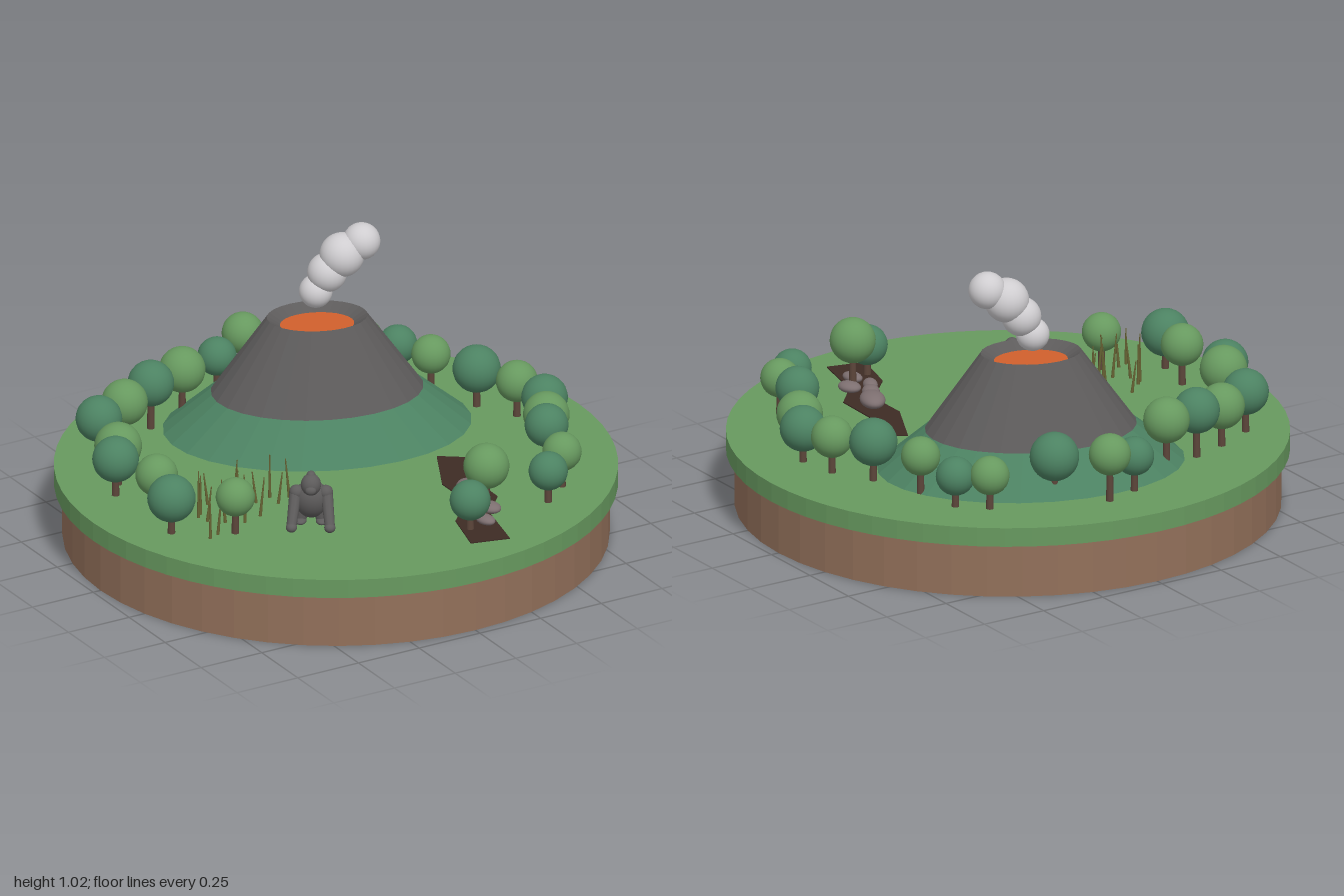
import * as THREE from 'three';

const mat = (name, color) => {
  const m = new THREE.MeshStandardMaterial({ color });
  m.name = name;
  return m;
};

export function createModel() {
  const M = {
    soil: mat('soil brown', 0x92705a),
    grass: mat('meadow green', 0x67995f),
    pine: mat('deep green', 0x4c8262),
    rock: mat('basalt grey', 0x5d5b5b),
    lava: mat('lava orange', 0xd0602c),
    smoke: mat('smoke white', 0xcfcdd0),
    bark: mat('bark brown', 0x5c453a),
    mud: mat('mud brown', 0x3d2b24),
    stone: mat('mauve stone', 0x7d6f70),
    reed: mat('reed olive', 0x666233),
  };
  const root = new THREE.Group();
  const group = (name, parent = root) => {
    const g = new THREE.Group();
    g.name = name;
    parent.add(g);
    return g;
  };
  const add = (parent, name, geo, material, x = 0, y = 0, z = 0) => {
    const m = new THREE.Mesh(geo, material);
    m.name = name;
    m.position.set(x, y, z);
    parent.add(m);
    return m;
  };
  const flat = (geo) => {
    const g = geo.toNonIndexed();
    g.computeVertexNormals();
    return g;
  };
  const ball = new THREE.SphereGeometry(1, 24, 16);
  const blob = (parent, name, material, p, s) => {
    const m = add(parent, name, ball, material, ...p);
    if (Array.isArray(s)) m.scale.set(...s);
    else m.scale.setScalar(s);
    return m;
  };
  // Tapered round limb between two points
  const limb = (parent, name, material, a, b, ra, rb) => {
    const A = new THREE.Vector3(...a), B = new THREE.Vector3(...b);
    const d = B.clone().sub(A);
    const m = add(parent, name, new THREE.CylinderGeometry(rb, ra, d.length(), 10), material);
    m.position.copy(A).add(B).multiplyScalar(0.5);
    m.quaternion.setFromUnitVectors(new THREE.Vector3(0, 1, 0), d.normalize());
    return m;
  };
  const G = 0.27; // ground height

  // Round island base
  add(root, 'soilBase', flat(new THREE.CylinderGeometry(0.97, 0.97, 0.2, 48)), M.soil, 0, 0.1, 0);
  add(root, 'grassTop', flat(new THREE.CylinderGeometry(1, 1, 0.07, 64)), M.grass, 0, 0.235, 0);

  // Oval volcano with crater
  const volcano = group('volcano');
  volcano.position.set(0.115, 0, -0.325);
  volcano.rotation.y = -0.37;
  const oval = (pts) => {
    const g = new THREE.LatheGeometry(pts.map((p) => new THREE.Vector2(...p)), 28);
    g.scale(1, 1, 0.735);
    return flat(g);
  };
  add(volcano, 'greenSlope', oval([[0.552, G], [0.38, 0.41]]), M.pine);
  add(volcano, 'rockCone', oval([[0.38, 0.41], [0.18, 0.69], [0.125, 0.655]]), M.rock);
  const lava = add(volcano, 'lavaPool', new THREE.CircleGeometry(0.14, 28), M.lava, 0, 0.66, 0);
  lava.rotation.x = -Math.PI / 2;
  lava.scale.y = 0.735;

  // Smoke plume
  const plume = group('smokePlume');
  [[0.13, 0.77, -0.36, 0.06], [0.168, 0.84, -0.345, 0.071],
    [0.217, 0.905, -0.325, 0.08], [0.286, 0.95, -0.305, 0.067]]
    .forEach(([x, y, z, r]) => blob(plume, 'smokePuff', M.smoke, [x, y, z], r));

  // Ring of trees: x, z, crown radius, crown height; colours alternate
  const trees = [
    [-0.04, -0.76, 0.07, 0.4], [0.09, -0.8, 0.075, 0.445], [0.23, -0.655, 0.088, 0.42],
    [0.49, -0.635, 0.07, 0.395], [0.58, -0.55, 0.07, 0.385], [0.61, -0.37, 0.07, 0.41],
    [0.68, -0.17, 0.086, 0.415], [0.76, -0.025, 0.075, 0.405], [0.785, 0.125, 0.083, 0.395],
    [0.715, 0.255, 0.083, 0.395], [0.63, 0.4, 0.078, 0.43], [0.59, 0.575, 0.07, 0.405],
    [0.48, 0.665, 0.07, 0.39], [0.24, 0.64, 0.082, 0.455], [0.12, 0.73, 0.073, 0.385],
    [-0.61, 0.33, 0.07, 0.41], [-0.805, 0.215, 0.086, 0.405], [-0.765, 0.045, 0.076, 0.42],
    [-0.81, -0.165, 0.083, 0.41], [-0.755, -0.24, 0.085, 0.42], [-0.695, -0.475, 0.083, 0.42],
    [-0.545, -0.55, 0.083, 0.42], [-0.41, -0.595, 0.083, 0.445], [-0.26, -0.63, 0.083, 0.45],
  ];
  // Index at which the dark/light alternation shifts
  trees.forEach(([x, z, r, y], i) => {
    const dark = i < 15 ? (i === 0 || i === 2 || (i > 2 && i % 2 === 0)) : i % 2 === 0;
    const tree = group('tree');
    limb(tree, 'trunk', M.bark, [x, G - 0.005, z], [x, y, z], 0.014, 0.011);
    blob(tree, 'crown', dark ? M.pine : M.grass, [x, y, z], r);
  });

  // Winding mud path
  const edge = [[0.335, 0.135], [0.425, 0.2], [0.35, 0.335], [0.345, 0.54], [0.25, 0.645],
    [0.2, 0.87], [0.06, 0.835], [0.11, 0.645], [0.23, 0.52], [0.23, 0.35]];
  const shape = new THREE.Shape(edge.map(([x, z]) => new THREE.Vector2(x, -z)));
  const path = new THREE.ExtrudeGeometry(shape, { depth: 0.006, bevelEnabled: false });
  path.rotateX(-Math.PI / 2);
  add(root, 'mudPath', path, M.mud, 0, G - 0.002, 0);

  // Smooth stones lying along the path
  const stones = group('stones');
  [[0.27, 0.465, 0.045, 0.068, -0.4, 0.028], [0.225, 0.545, 0.032, 0.042, -0.5, 0.023],
    [0.185, 0.61, 0.026, 0.042, -0.4, 0.02], [0.26, 0.63, 0.035, 0.045, 0.3, 0.02],
    [0.195, 0.71, 0.028, 0.042, 0.2, 0.018]]
    .forEach(([x, z, sx, sz, turn, sy]) => {
      blob(stones, 'stone', M.stone, [x, G + sy * 0.8, z], [sx, sy, sz]).rotation.y = turn;
    });

  // Ape leaning on long arms
  const ape = group('ape');
  ape.position.set(-0.33, 0, 0.385);
  ape.rotation.y = -0.56;
  blob(ape, 'body', M.rock, [0, 0.36, 0], [0.063, 0.075, 0.058]).rotation.x = 0.35;
  blob(ape, 'head', M.rock, [0, 0.435, 0.045], [0.036, 0.04, 0.038]);
  blob(ape, 'muzzle', M.rock, [0, 0.425, 0.078], [0.02, 0.016, 0.014]);
  blob(ape, 'crest', M.rock, [0, 0.468, 0.035], [0.016, 0.014, 0.02]);
  [-1, 1].forEach((s) => {
    blob(ape, 'shoulder', M.rock, [s * 0.052, 0.395, 0.02], 0.026);
    limb(ape, 'arm', M.rock, [s * 0.055, 0.395, 0.02], [s * 0.068, 0.29, 0.085], 0.022, 0.018);
    blob(ape, 'hand', M.rock, [s * 0.068, 0.287, 0.088], [0.02, 0.018, 0.022]);
    limb(ape, 'leg', M.rock, [s * 0.033, 0.34, 0], [s * 0.038, G, 0], 0.025, 0.021);
    blob(ape, 'foot', M.rock, [s * 0.038, 0.28, 0.012], [0.021, 0.012, 0.03]);
  });

  // Reeds
  const reeds = group('reeds');
  [[-0.57, 0.07], [-0.48, 0.12], [-0.5, 0.13], [-0.47, 0.18], [-0.35, 0.13], [-0.35, 0.19],
    [-0.29, 0.165], [-0.655, 0.15], [-0.645, 0.195], [-0.595, 0.235], [-0.535, 0.27],
    [-0.46, 0.25], [-0.51, 0.2], [-0.71, 0.325], [-0.67, 0.31], [-0.415, 0.145], [-0.635, 0.13],
    [-0.545, 0.21]]
    .forEach(([x, z], i) => {
      const h = 0.12 + 0.06 * ((i * 7) % 5) / 4;
      const lean = 0.012 * ((i % 3) - 1);
      limb(reeds, 'reed', M.reed, [x, G, z], [x + lean, G + h, z + lean * 0.6], 0.006, 0.002);
    });

  return root;
}
